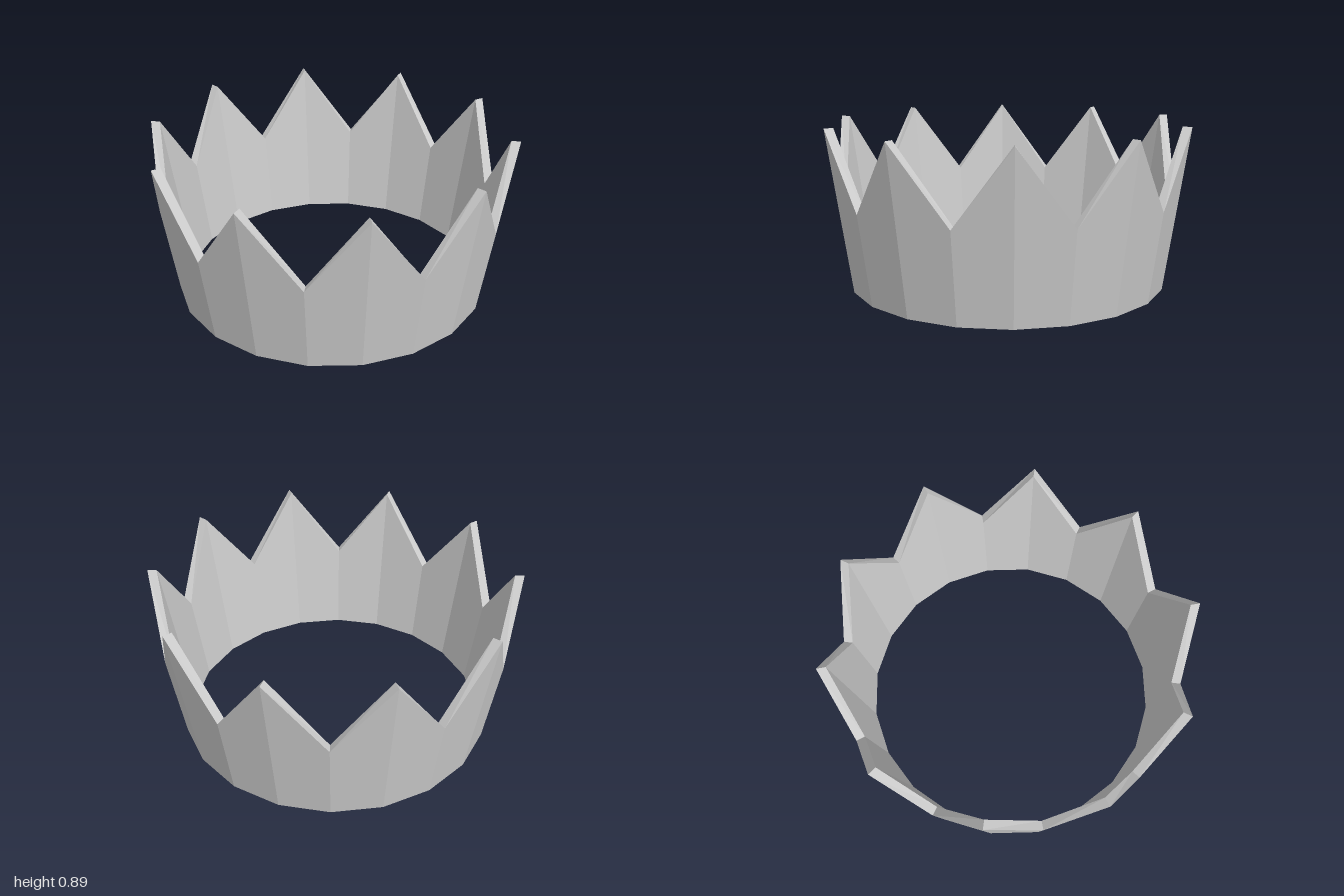
import * as THREE from 'three';

const POINTS = 10;          // spikes around the crown
const STEPS = POINTS * 2;   // alternating peak and valley
const PEAK = 0.89, VALLEY = 0.49;
const WALL = 0.05;

// outer radius flares evenly with height
const radiusAt = (y) => 0.873 + (1 - 0.873) * (y / PEAK);

// wall cross-section at step i: outer bottom, outer top, inner top, inner bottom
function section(i) {
  const a = (i / STEPS) * Math.PI * 2;
  const top = i % 2 === 0 ? PEAK : VALLEY;
  const at = (r, y) => [Math.sin(a) * r, y, Math.cos(a) * r];
  return [
    at(radiusAt(0), 0),
    at(radiusAt(top), top),
    at(radiusAt(top) - WALL, top),
    at(radiusAt(0) - WALL, 0),
  ];
}

function crownGeometry() {
  const positions = [];
  for (let i = 0; i < STEPS; i++) {
    const s = section(i), t = section((i + 1) % STEPS);
    // outside, rim, inside and underside of one segment
    for (let k = 0; k < 4; k++) {
      const n = (k + 1) % 4;
      positions.push(...s[k], ...t[k], ...t[n], ...s[k], ...t[n], ...s[n]);
    }
  }
  const geometry = new THREE.BufferGeometry();
  geometry.setAttribute('position', new THREE.Float32BufferAttribute(positions, 3));
  geometry.computeVertexNormals();
  return geometry;
}

export function createModel() {
  const group = new THREE.Group();
  group.name = 'crown';
  const material = new THREE.MeshStandardMaterial({ color: 0xcccccc, flatShading: true });
  const band = new THREE.Mesh(crownGeometry(), material);
  band.name = 'spikedBand';
  group.add(band);
  return group;
}
